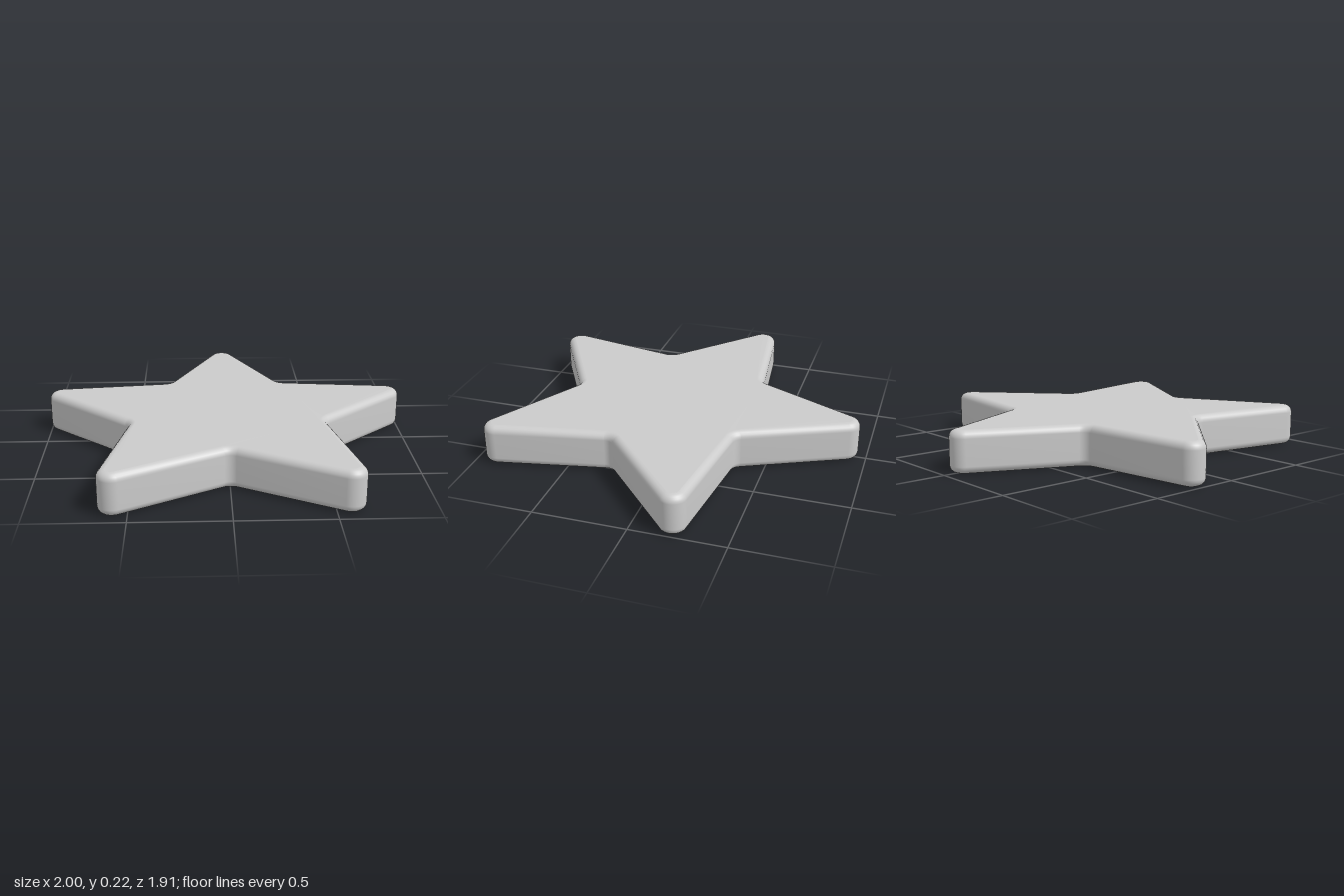
import * as THREE from 'three';
import { mergeVertices } from 'three/addons/utils/BufferGeometryUtils.js';

const HEIGHT = 0.222, BEVEL = 0.04;
const TIP_RADIUS = 1.047, TIP_ROUND = 0.074;   // rounded tip reach and its corner radius
const NOTCH_RADIUS = 0.551, NOTCH_ROUND = 0.06; // sharp notch distance and its fillet
const TIP_HALF = THREE.MathUtils.degToRad(24.8);
const NOTCH_HALF = TIP_HALF + Math.PI / 5;

// Five-pointed outline with rounded tips and filleted notches
function starOutline() {
  const shape = new THREE.Shape();
  const tipCentre = TIP_RADIUS - TIP_ROUND;
  const notchCentre = NOTCH_RADIUS + NOTCH_ROUND / Math.sin(NOTCH_HALF);
  const tipSweep = Math.PI / 2 - TIP_HALF;
  const notchSweep = Math.PI / 2 - NOTCH_HALF;
  for (let i = 0; i < 5; i++) {
    const a = Math.PI / 2 + (i * 2 * Math.PI) / 5;
    const b = a + Math.PI / 5;
    shape.absarc(tipCentre * Math.cos(a), tipCentre * Math.sin(a), TIP_ROUND,
      a - tipSweep, a + tipSweep, false);
    shape.absarc(notchCentre * Math.cos(b), notchCentre * Math.sin(b), NOTCH_ROUND,
      b + Math.PI + notchSweep, b + Math.PI - notchSweep, true);
  }
  shape.closePath();
  return shape;
}

export function createModel() {
  // Thick slab with softly rounded rims, laid flat with one tip to the back
  let geometry = new THREE.ExtrudeGeometry(starOutline(), {
    depth: HEIGHT - 2 * BEVEL,
    bevelThickness: BEVEL, bevelSize: BEVEL, bevelOffset: -BEVEL,
    bevelSegments: 5, curveSegments: 10,
  });
  geometry.rotateX(-Math.PI / 2);
  geometry.computeBoundingBox();
  const box = geometry.boundingBox;
  geometry.translate(0, -box.min.y, -(box.min.z + box.max.z) / 2);

  // Weld for smooth normals all over
  geometry.deleteAttribute('normal');
  geometry.deleteAttribute('uv');
  geometry = mergeVertices(geometry, 1e-4);
  geometry.computeVertexNormals();

  const star = new THREE.Mesh(geometry, new THREE.MeshStandardMaterial({ color: 0xcccccc }));
  star.name = 'starBody';
  const group = new THREE.Group();
  group.name = 'star';
  group.add(star);
  return group;
}
